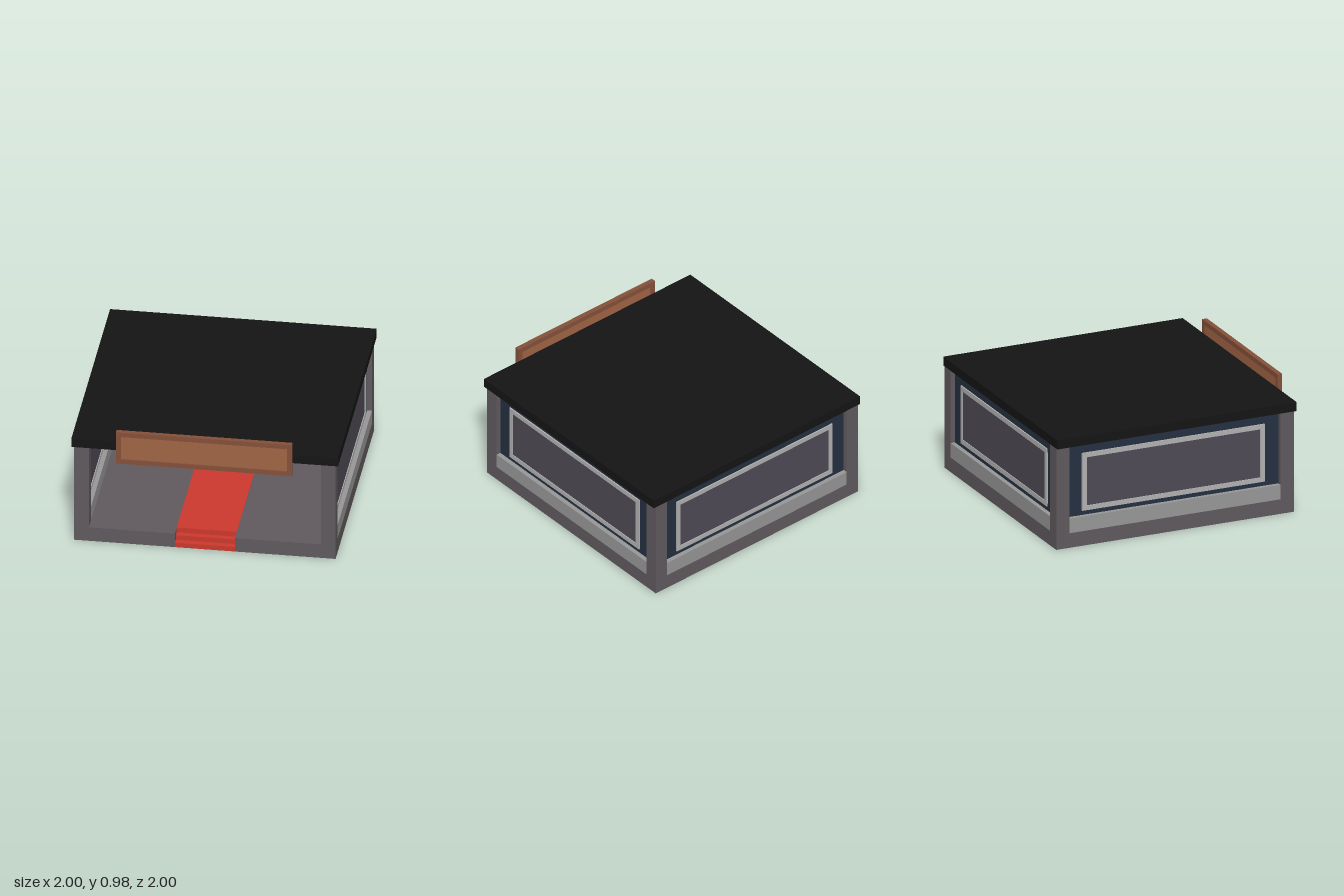
import * as THREE from 'three';

const mat = (color) => new THREE.MeshStandardMaterial({ color, flatShading: true });
const stone = mat(0x605a5e), ledgeGrey = mat(0x979797), navy = mat(0x243040);
const frameGrey = mat(0xb2b2b2), glass = mat(0x4e4a55), black = mat(0x141414);
const red = mat(0xcc382e), darkWood = mat(0x84503a), wood = mat(0xa06444);

const FRONT = 0.945, BACK = -1, SIDE = 0.98, POST = 0.11;
const FLOOR = 0.115, TOP = 0.8, STEP = 0.045, PATH = 0.225;

// Box given by its minimum and maximum corners
function box(parent, name, material, [x0, y0, z0], [x1, y1, z1]) {
  const mesh = new THREE.Mesh(new THREE.BoxGeometry(x1 - x0, y1 - y0, z1 - z0), material);
  mesh.position.set((x0 + x1) / 2, (y0 + y1) / 2, (z0 + z1) / 2);
  mesh.name = name;
  parent.add(mesh);
  return mesh;
}

// Rectangular picture frame in the xy plane, centred on z = 0
function frame(parent, name, material, w, y0, y1, border, depth) {
  const rect = (P, hw, a, b) => {
    const p = new P();
    p.moveTo(-hw, a);
    p.lineTo(hw, a);
    p.lineTo(hw, b);
    p.lineTo(-hw, b);
    p.closePath();
    return p;
  };
  const shape = rect(THREE.Shape, w / 2, y0, y1);
  shape.holes.push(rect(THREE.Path, w / 2 - border, y0 + border, y1 - border));
  const geo = new THREE.ExtrudeGeometry(shape, { depth, bevelEnabled: false });
  geo.translate(0, 0, -depth / 2);
  const mesh = new THREE.Mesh(geo, material);
  mesh.name = name;
  parent.add(mesh);
}

// Wall bay between two posts: low ledge, recessed wall, framed window on both faces
function wallBay(name, length) {
  const bay = new THREE.Group();
  bay.name = name;
  const h = length / 2, win = h - 0.115;
  box(bay, 'ledge', ledgeGrey, [-h, FLOOR, -POST / 2], [h, 0.23, POST / 2]);
  frame(bay, 'wall', navy, length, 0.23 - 0.055, TOP, 0.11, 0.04);
  box(bay, 'wallPanel', navy, [-h + 0.1, 0.24, -0.019], [h - 0.1, TOP - 0.01, 0.019]);
  frame(bay, 'windowFrame', frameGrey, win * 2, 0.265, 0.72, 0.037, 0.06);
  box(bay, 'windowPane', glass, [-win + 0.03, 0.295, -0.024], [win - 0.03, 0.69, 0.024]);
  return bay;
}

export function createModel() {
  const model = new THREE.Group();
  model.name = 'pavilion';

  // Base slab with a notch for the steps (plan drawn as x, -z)
  const notch = FRONT - 2 * STEP;
  const plan = new THREE.Shape([
    [-SIDE, -FRONT], [-PATH, -FRONT], [-PATH, -notch], [PATH, -notch],
    [PATH, -FRONT], [SIDE, -FRONT], [SIDE, -BACK], [-SIDE, -BACK],
  ].map(([x, y]) => new THREE.Vector2(x, y)));
  const baseGeo = new THREE.ExtrudeGeometry(plan, { depth: FLOOR, bevelEnabled: false });
  baseGeo.rotateX(-Math.PI / 2);
  const base = new THREE.Mesh(baseGeo, stone);
  base.name = 'base';
  model.add(base);

  // Red steps and the carpet running to the back wall
  const rise = FLOOR / 3;
  for (let i = 0; i < 2; i++) {
    box(model, 'step', red, [-PATH, i * rise, notch], [PATH, (i + 1) * rise, FRONT - i * STEP]);
  }
  box(model, 'carpet', red, [-PATH, 2 * rise, BACK + POST], [PATH, FLOOR + 0.002, notch + 0.001]);

  // Corner posts
  for (const x of [-SIDE, SIDE - POST]) {
    for (const z of [BACK, FRONT - POST]) {
      box(model, 'cornerPost', stone, [x, FLOOR, z], [x + POST, TOP, z + POST]);
    }
  }

  // Back and side walls; the front stays open
  const backWall = wallBay('backWall', 2 * (SIDE - POST));
  backWall.position.z = BACK + POST / 2;
  model.add(backWall);
  for (const s of [1, -1]) {
    const wall = wallBay(s > 0 ? 'leftWall' : 'rightWall', FRONT - BACK - 2 * POST);
    wall.rotation.y = s * Math.PI / 2;
    wall.position.set(s * (SIDE - POST / 2), 0, (FRONT + BACK) / 2);
    model.add(wall);
  }

  // Flat roof
  box(model, 'roof', black, [-1, TOP, -1], [1, 0.87, 0.96]);

  // Blank sign board on the roof edge
  const sign = new THREE.Group();
  sign.name = 'signBoard';
  frame(sign, 'signFrame', darkWood, 1.32, 0.71, 0.975, 0.037, 0.038);
  box(sign, 'signPanel', wood, [-0.63, 0.74, -0.01], [0.63, 0.945, 0.01]);
  sign.position.z = 0.981;
  model.add(sign);

  return model;
}
